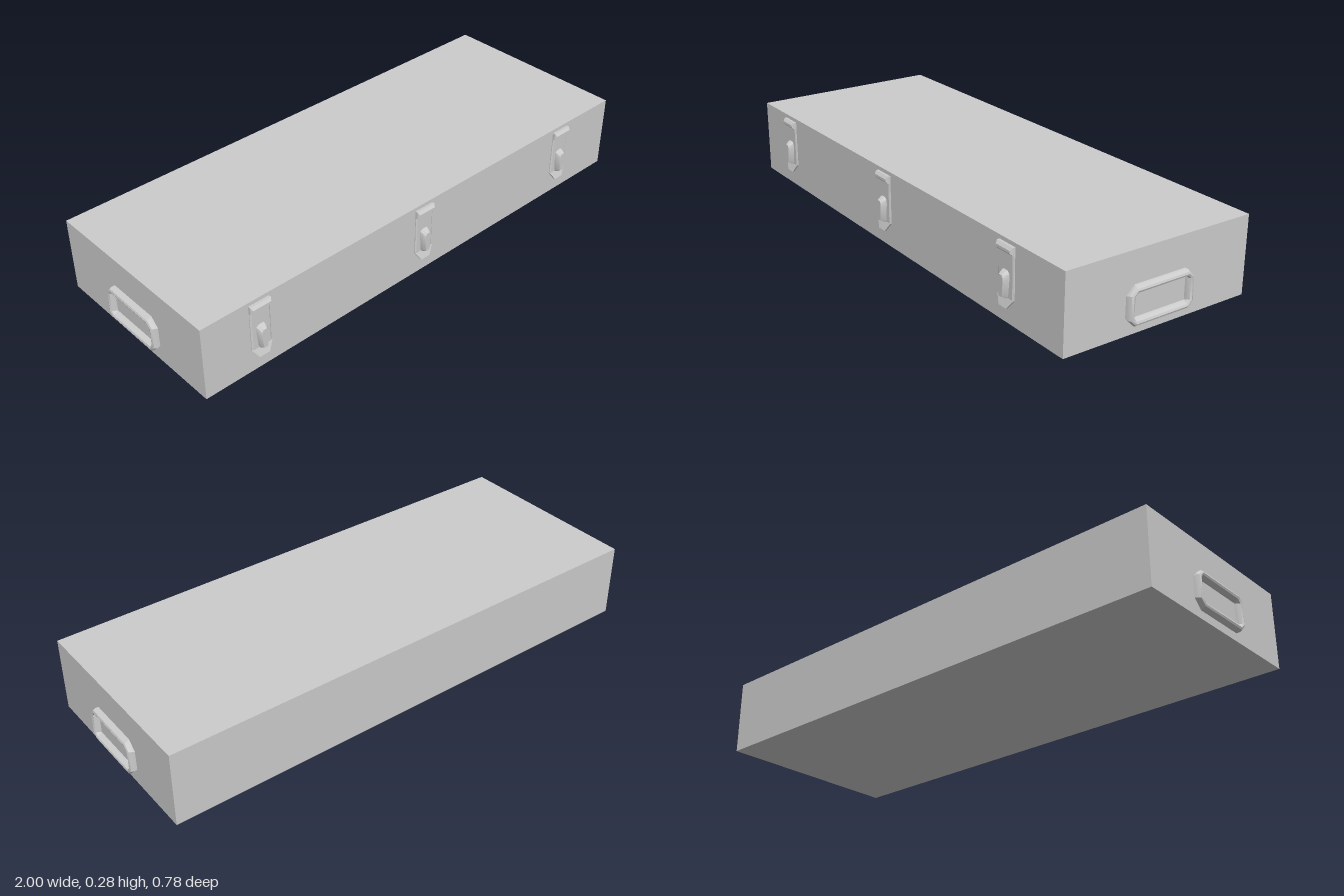
import * as THREE from 'three';
import { toCreasedNormals } from 'three/addons/utils/BufferGeometryUtils.js';

const material = new THREE.MeshStandardMaterial({ color: 0xcccccc, side: THREE.DoubleSide });
const W = 1.957, H = 0.284, D = 0.745;

function part(name, geometry, parent) {
  const mesh = new THREE.Mesh(geometry, material);
  mesh.name = name;
  parent.add(mesh);
  return mesh;
}

// Skin counter-clockwise loops of [x, y, z] stacked towards +z; optionally cap the last one
function loft(loops, cap, crease = 0.5) {
  const n = loops[0].length, index = [];
  for (let j = 0; j < loops.length - 1; j++) {
    for (let i = 0; i < n; i++) {
      const a = j * n + i, b = j * n + (i + 1) % n;
      index.push(a, b, b + n, a, b + n, a + n);
    }
  }
  const top = (loops.length - 1) * n;
  if (cap) for (let i = 1; i < n - 1; i++) index.push(top, top + i, top + i + 1);
  const g = new THREE.BufferGeometry();
  g.setAttribute('position', new THREE.Float32BufferAttribute(loops.flat(2), 3));
  g.setIndex(index);
  return toCreasedNormals(g, crease);
}

// Rectangle with cut corners, half sizes w and h, corner cut c
function cutRect(w, h, c, z) {
  return [[w, -h + c], [w, h - c], [w - c, h], [-w + c, h],
    [-w, h - c], [-w, -h + c], [-w + c, -h], [w - c, -h]].map(([x, y]) => [x, y, z]);
}

// Half-round frame running around a rectangular opening
function handleGeometry() {
  const loops = [], steps = 6;
  for (let i = 0; i <= steps; i++) {
    const t = i / steps, a = Math.PI * t;
    const inset = 0.0135 * (1 - Math.cos(a));
    loops.push(cutRect(0.135 - inset, 0.069 - inset, 0.03 * (1 - t) + 0.001, 0.022 * Math.sin(a)));
  }
  return loft(loops, false, 0.6);
}

// Tapered lever outline, wide and rounded at the top
function leverLoop(s, y0, y1, z) {
  return [[0.010, y0], [0.014, y0 + 0.008], [0.021, y1 - 0.022], [0.019, y1 - 0.008], [0.010, y1],
    [-0.010, y1], [-0.019, y1 - 0.008], [-0.021, y1 - 0.022], [-0.014, y0 + 0.008], [-0.010, y0]]
    .map(([x, y]) => [x * s, y, z]);
}

function createLatch() {
  const latch = new THREE.Group();
  latch.name = 'latch';

  // Back plate with a bevelled rim
  const plate = (w, y0, y1, z) => [[w, y0, z], [w, y1, z], [-w, y1, z], [-w, y0, z]];
  part('latchPlate', loft([plate(0.04, 0.09, 0.25, 0), plate(0.04, 0.09, 0.25, 0.003),
    plate(0.035, 0.09, 0.25, 0.006)], true), latch);

  // Tongue bent outwards at the foot of the plate
  const tongue = new THREE.Shape([[-0.04, 0.09], [-0.02, 0.06], [0.02, 0.06], [0.04, 0.09]]
    .map(([x, y]) => new THREE.Vector2(x, y)));
  const g = new THREE.ExtrudeGeometry(tongue, { depth: 0.008, bevelEnabled: false });
  const p = g.attributes.position;
  for (let i = 0; i < p.count; i++) p.setZ(i, p.getZ(i) - 0.001 + (0.09 - p.getY(i)) * 0.35);
  g.computeVertexNormals();
  part('latchTongue', g, latch);

  // Catch bar hooked over the top of the plate
  const bar = (w, y0, y1, z) => plate(w, y0, y1, z);
  part('catchBar', loft([bar(0.041, 0.24, 0.27, 0), bar(0.041, 0.243, 0.27, 0.010),
    bar(0.036, 0.251, 0.26, 0.018)], true), latch);

  // Raised lever with a narrow ridge
  part('lever', loft([leverLoop(1, 0.088, 0.184, 0.004), leverLoop(0.95, 0.09, 0.182, 0.012),
    leverLoop(0.65, 0.098, 0.172, 0.027)], true), latch);
  return latch;
}

export function createModel() {
  const model = new THREE.Group();
  model.name = 'case';

  // Plain closed body
  part('body', new THREE.BoxGeometry(W, H, D).translate(0, H / 2, 0), model);

  // Three latches along the front
  for (const x of [-0.755, -0.03, 0.7]) {
    const latch = createLatch();
    latch.position.set(x, 0, D / 2);
    model.add(latch);
  }

  // Carrying handle on each end
  const geometry = handleGeometry();
  for (const [name, side] of [['leftHandle', 1], ['rightHandle', -1]]) {
    const handle = part(name, geometry, model);
    handle.position.set(side * W / 2, 0.099, 0);
    handle.rotation.y = side * Math.PI / 2;
  }

  // The case sits very slightly askew
  model.rotation.y = -0.003;
  model.position.z = -0.013;
  const root = new THREE.Group();
  root.name = 'storageCase';
  root.add(model);
  return root;
}
